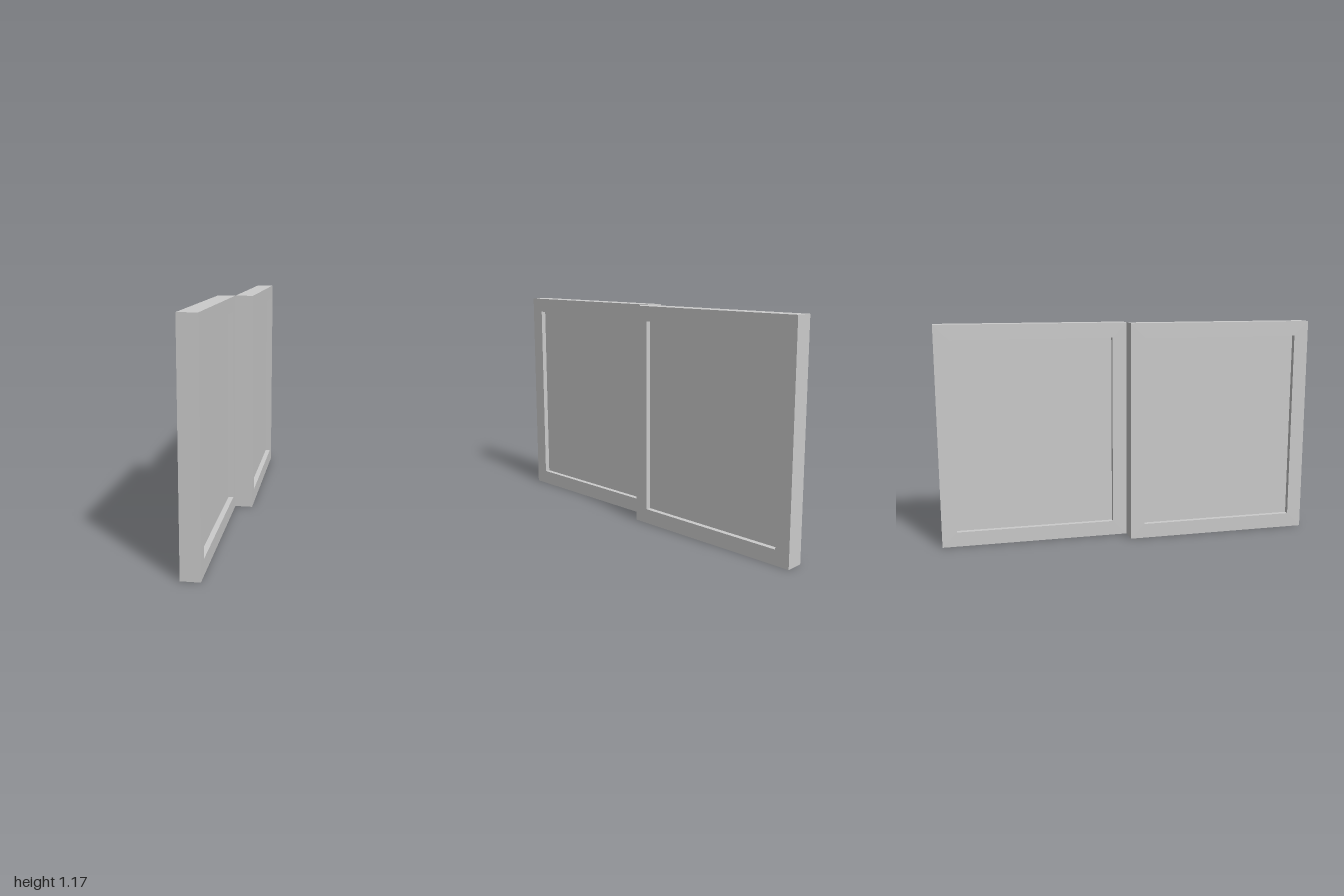
import * as THREE from 'three';

const H = 1.167, W = 1, T = 0.094, BORDER = 0.078, RECESS = 0.027;

const material = new THREE.MeshStandardMaterial({ color: 0xcccccc, flatShading: true });

// Rectangle centred on the origin
function rectangle(Type, w, h) {
  return new Type([
    new THREE.Vector2(-w / 2, -h / 2), new THREE.Vector2(w / 2, -h / 2),
    new THREE.Vector2(w / 2, h / 2), new THREE.Vector2(-w / 2, h / 2),
  ]);
}

// One sliding window leaf: a frame with a pane recessed on both sides
function createSash(name) {
  const sash = new THREE.Group();
  sash.name = name;
  const innerW = W - 2 * BORDER, innerH = H - 2 * BORDER;

  const outline = rectangle(THREE.Shape, W, H);
  outline.holes.push(rectangle(THREE.Path, innerW, innerH));
  const frameGeometry = new THREE.ExtrudeGeometry(outline, { depth: T, bevelEnabled: false });
  frameGeometry.translate(0, 0, -T / 2).rotateY(Math.PI / 2);
  const frame = new THREE.Mesh(frameGeometry, material);
  frame.name = 'frame';

  const pane = new THREE.Mesh(new THREE.BoxGeometry(T - 2 * RECESS, innerH, innerW), material);
  pane.name = 'pane';

  sash.add(frame, pane);
  return sash;
}

export function createModel() {
  const model = new THREE.Group();
  model.name = 'slidingWindow';

  // Two leaves on neighbouring tracks, touching along one vertical edge
  for (const [name, side] of [['frontSash', 1], ['backSash', -1]]) {
    const sash = createSash(name);
    sash.position.set(-side * T / 2, H / 2, side * W / 2);
    model.add(sash);
  }
  return model;
}
